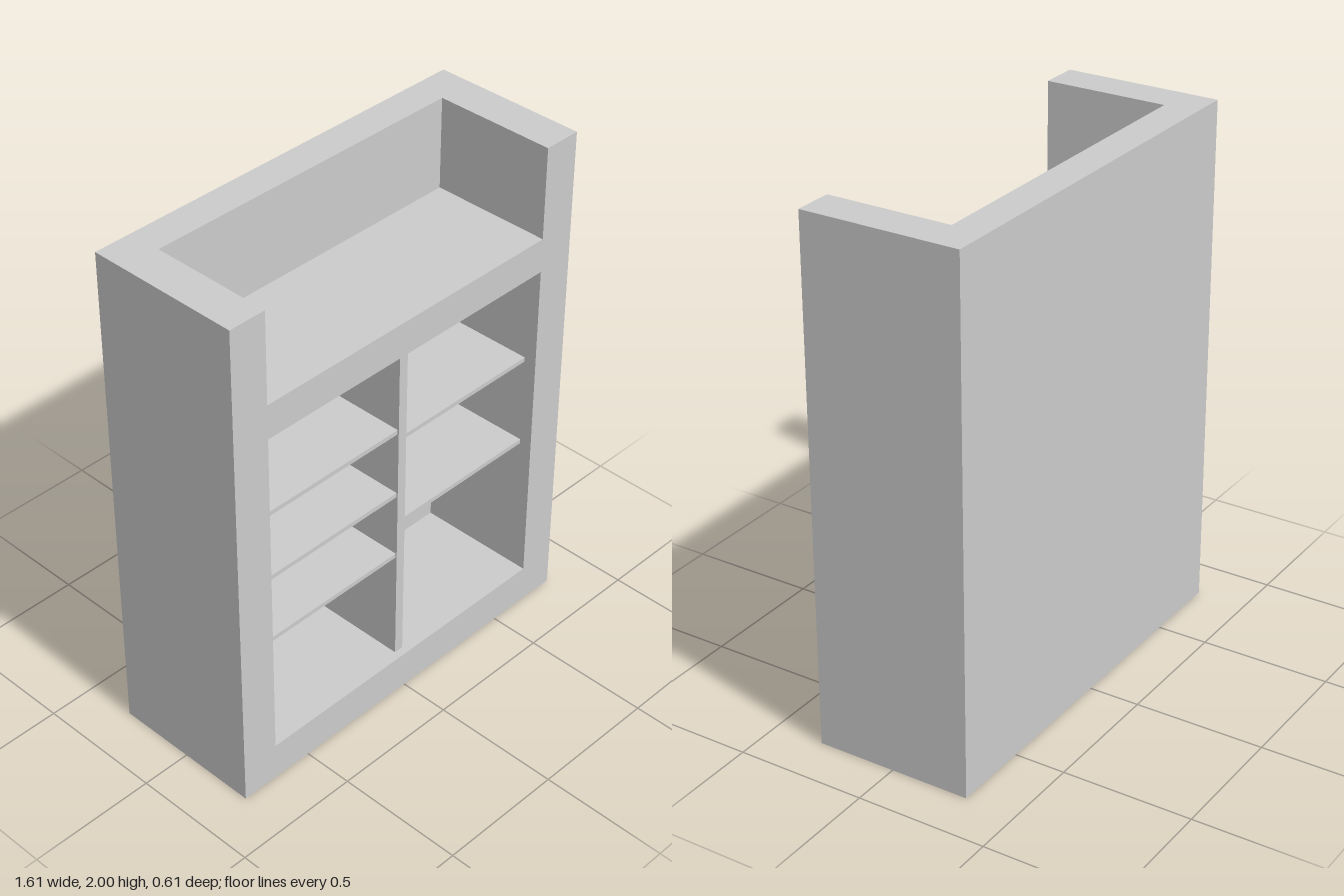
import * as THREE from 'three';

const W = 0.807, H = 2, D = 0.304;      // outer half width, height, half depth
const IN = 0.658, BACK_Z = -0.174;      // inner half width, face of the back panel
const LOW = 0.151, HIGH = 1.504, NICHE = 1.639;
const HALF_DIVIDER = 0.019, SHELF = 0.018;

export function createModel() {
  const group = new THREE.Group();
  const material = new THREE.MeshStandardMaterial({ color: 0xcccccc, flatShading: true });

  const add = (name, geometry) => {
    const mesh = new THREE.Mesh(geometry, material);
    mesh.name = name;
    group.add(mesh);
    return mesh;
  };
  // Box given by its limits on each axis
  const box = (name, x0, x1, y0, y1, z0, z1) =>
    add(name, new THREE.BoxGeometry(x1 - x0, y1 - y0, z1 - z0))
      .position.set((x0 + x1) / 2, (y0 + y1) / 2, (z0 + z1) / 2);
  const points = (list) => list.map(([x, y]) => new THREE.Vector2(x, y));

  // Thick frame: open niche at the top, rectangular opening below
  const outline = new THREE.Shape(points([
    [-W, 0], [W, 0], [W, H], [IN, H], [IN, NICHE], [-IN, NICHE], [-IN, H], [-W, H],
  ]));
  outline.holes.push(new THREE.Path(points([
    [-IN, LOW], [-IN, HIGH], [IN, HIGH], [IN, LOW],
  ])));
  add('frame', new THREE.ExtrudeGeometry(outline, { depth: D - BACK_Z, bevelEnabled: false }))
    .position.z = BACK_Z;

  // Full-height back
  box('backPanel', -W, W, 0, H, -D, BACK_Z);

  // Upright between the two columns, set slightly behind the frame
  box('divider', -HALF_DIVIDER, HALF_DIVIDER, LOW, HIGH, BACK_Z, D - 0.03);

  // Shelves, listed by the height of their top faces
  for (const y of [1.17, 0.895, 0.62])
    box('rightShelf', -IN, -HALF_DIVIDER, y - SHELF, y, BACK_Z, D - 0.035);
  for (const y of [1.115, 0.746])
    box('leftShelf', HALF_DIVIDER, IN, y - SHELF, y, BACK_Z, D - 0.05);

  return group;
}
